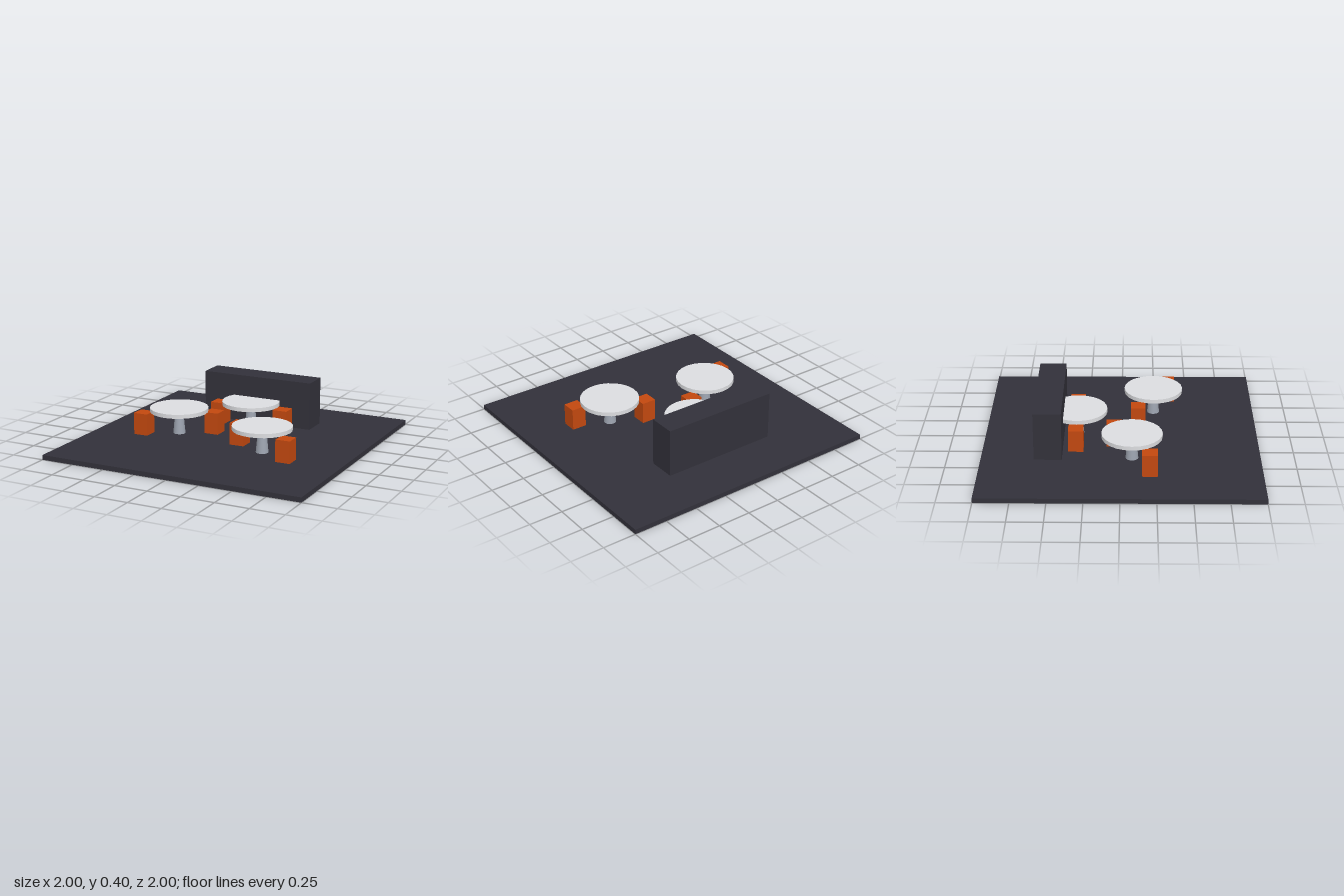
import * as THREE from 'three';

const material = (name, color) => {
  const m = new THREE.MeshStandardMaterial({ color });
  m.name = name;
  return m;
};

export function createModel() {
  const charcoal = material('charcoal', 0x32313a);
  const paleGrey = material('pale grey', 0xdcdde0);
  const steel = material('steel grey', 0x9ca3af);
  const orange = material('burnt orange', 0xc2480f);

  const group = new THREE.Group();
  const floorTop = 0.035;

  const add = (parent, name, geometry, mat, x, y, z) => {
    const mesh = new THREE.Mesh(geometry, mat);
    mesh.name = name;
    mesh.position.set(x, y, z);
    parent.add(mesh);
  };

  // Floor slab and the bar counter standing on it
  add(group, 'floor', new THREE.BoxGeometry(2, floorTop, 2), charcoal, 0, floorTop / 2, 0);
  add(group, 'barCounter', new THREE.BoxGeometry(0.88, 0.36, 0.2), charcoal, 0, floorTop + 0.18, -0.52);

  // Shared parts of each table set
  const topGeometry = new THREE.CylinderGeometry(0.218, 0.218, 0.03, 24);
  const pedestalGeometry = new THREE.CylinderGeometry(0.03, 0.046, 0.17, 16);
  const stoolGeometry = new THREE.BoxGeometry(0.11, 0.163, 0.11);

  // Table centre, then the centres of its two stools
  const sets = [
    { table: [0, -0.32], stools: [[-0.26, -0.325], [0.26, -0.325]] },
    { table: [-0.4, 0.08], stools: [[-0.63, 0.205], [-0.173, -0.05]] },
    { table: [0.36, 0.24], stools: [[0.125, 0.125], [0.593, 0.35]] },
  ];

  for (const { table: [x, z], stools } of sets) {
    const set = new THREE.Group();
    set.name = 'tableSet';
    add(set, 'tableTop', topGeometry, paleGrey, x, 0.219, z);
    add(set, 'pedestal', pedestalGeometry, steel, x, floorTop + 0.085, z);
    for (const [sx, sz] of stools) {
      add(set, 'stool', stoolGeometry, orange, sx, floorTop + 0.0815, sz);
    }
    group.add(set);
  }

  return group;
}
